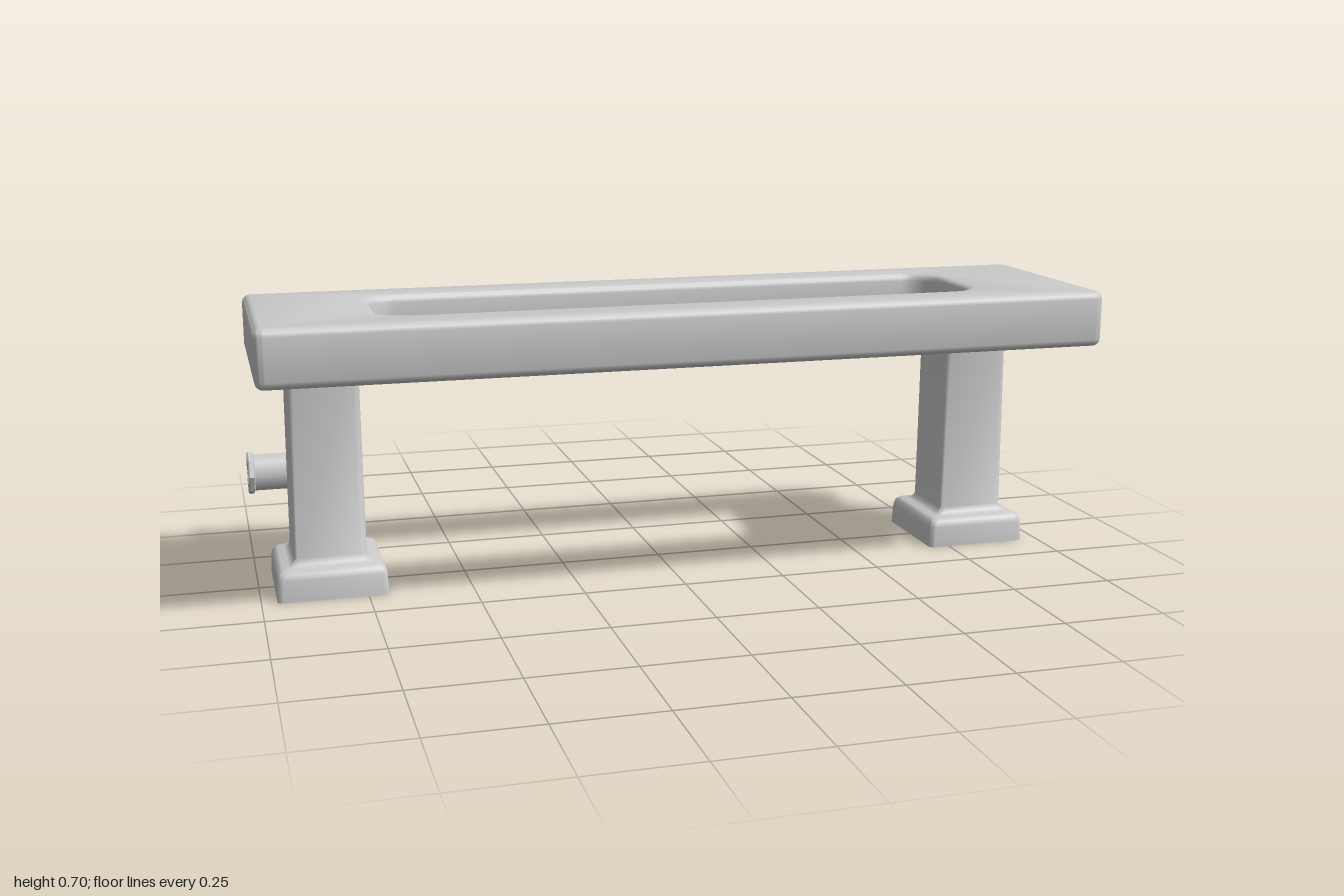
import * as THREE from 'three';
import { mergeVertices, toCreasedNormals } from 'three/addons/utils/BufferGeometryUtils.js';

const material = new THREE.MeshStandardMaterial({ color: 0xcccccc, side: THREE.DoubleSide });

// Rounded rectangle outline; works as a Shape or as a hole Path
function roundedRect(target, x0, y0, x1, y1, r) {
  target.moveTo(x0 + r, y0);
  target.lineTo(x1 - r, y0);
  target.absarc(x1 - r, y0 + r, r, -Math.PI / 2, 0);
  target.lineTo(x1, y1 - r);
  target.absarc(x1 - r, y1 - r, r, 0, Math.PI / 2);
  target.lineTo(x0 + r, y1);
  target.absarc(x0 + r, y1 - r, r, Math.PI / 2, Math.PI);
  target.lineTo(x0, y0 + r);
  target.absarc(x0 + r, y0 + r, r, Math.PI, Math.PI * 1.5);
  return target;
}

function smooth(geometry, angle) {
  geometry.deleteAttribute('uv');
  geometry.deleteAttribute('normal');
  return toCreasedNormals(mergeVertices(geometry, 1e-4), angle);
}

function addMesh(parent, name, geometry) {
  const mesh = new THREE.Mesh(geometry, material);
  mesh.name = name;
  parent.add(mesh);
  return mesh;
}

// Slab with a long rounded opening and softened edges
function slabGeometry() {
  const bevel = 0.018, bottom = 0.566, top = 0.7;
  const shape = roundedRect(new THREE.Shape(), -1, -0.415, 1, 0.112, 0.022);
  shape.holes.push(roundedRect(new THREE.Path(), -0.72, -0.298, 0.715, -0.005, 0.07));
  const geometry = new THREE.ExtrudeGeometry(shape, {
    depth: top - bottom - 2 * bevel, bevelThickness: bevel, bevelSize: bevel,
    bevelOffset: -bevel, bevelSegments: 3, curveSegments: 5,
  });
  geometry.rotateX(-Math.PI / 2);
  geometry.translate(0, bottom + bevel, 0);
  return smooth(geometry, 0.7);
}

// Hollow square leg flowing into its foot: rounded-square rings, open below
function legGeometry() {
  const rings = [ // half width, height, corner radius
    [0.131, 0, 0.012], [0.129, 0.052, 0.014], [0.125, 0.066, 0.016],
    [0.115, 0.073, 0.014], [0.1, 0.075, 0.012], [0.091, 0.08, 0.012],
    [0.086, 0.092, 0.014], [0.083, 0.58, 0.014],
  ];
  const steps = 3, n = 4 * (steps + 1), position = [], index = [];
  rings.forEach(([half, y, r], k) => {
    for (let corner = 0; corner < 4; corner++) {
      const middle = Math.PI / 4 + corner * Math.PI / 2;
      const cx = Math.sign(Math.cos(middle)) * (half - r);
      const cz = Math.sign(Math.sin(middle)) * (half - r);
      for (let s = 0; s <= steps; s++) {
        const a = (corner + s / steps) * Math.PI / 2;
        position.push(cx + r * Math.cos(a), y, cz + r * Math.sin(a));
      }
    }
    if (k === 0) return;
    for (let i = 0; i < n; i++) {
      const a = (k - 1) * n + i, b = (k - 1) * n + (i + 1) % n;
      index.push(a, a + n, b, b, a + n, b + n);
    }
  });
  const geometry = new THREE.BufferGeometry();
  geometry.setAttribute('position', new THREE.Float32BufferAttribute(position, 3));
  geometry.setIndex(index);
  return toCreasedNormals(geometry, 0.8);
}

// Eight-sided pipe leaving the back of the leg and turning outward
function buildPipe() {
  const pipe = new THREE.Group();
  pipe.name = 'pipe';
  const x = -0.833, y = 0.194, z = -0.366, bend = 0.075;
  const v = (px, pz) => new THREE.Vector3(px, y, pz);
  const path = new THREE.CurvePath();
  path.add(new THREE.LineCurve3(v(x, -0.06), v(x, z + bend)));
  path.add(new THREE.QuadraticBezierCurve3(v(x, z + bend), v(x, z), v(x - bend, z)));
  path.add(new THREE.LineCurve3(v(x - bend, z), v(-0.985, z)));
  addMesh(pipe, 'bentTube', new THREE.TubeGeometry(path, 24, 0.048, 8));

  // Flanged mouth with a shallow recess
  const profile = [[0.046, 0], [0.056, 0.004], [0.056, 0.015], [0.053, 0.018],
    [0.034, 0.018], [0.03, 0.006], [0, 0.006]].map(p => new THREE.Vector2(...p));
  const flange = addMesh(pipe, 'flange', toCreasedNormals(new THREE.LatheGeometry(profile, 8), 0.5));
  flange.rotation.z = Math.PI / 2;
  flange.position.set(-0.982, y, z);
  return pipe;
}

export function createModel() {
  const model = new THREE.Group();
  model.name = 'bench';
  addMesh(model, 'slab', slabGeometry());
  const leg = legGeometry();
  for (const [name, x] of [['rightLeg', -0.832], ['leftLeg', 0.828]]) {
    addMesh(model, name, leg).position.set(x, 0, 0.003);
  }
  model.add(buildPipe());
  return model;
}
